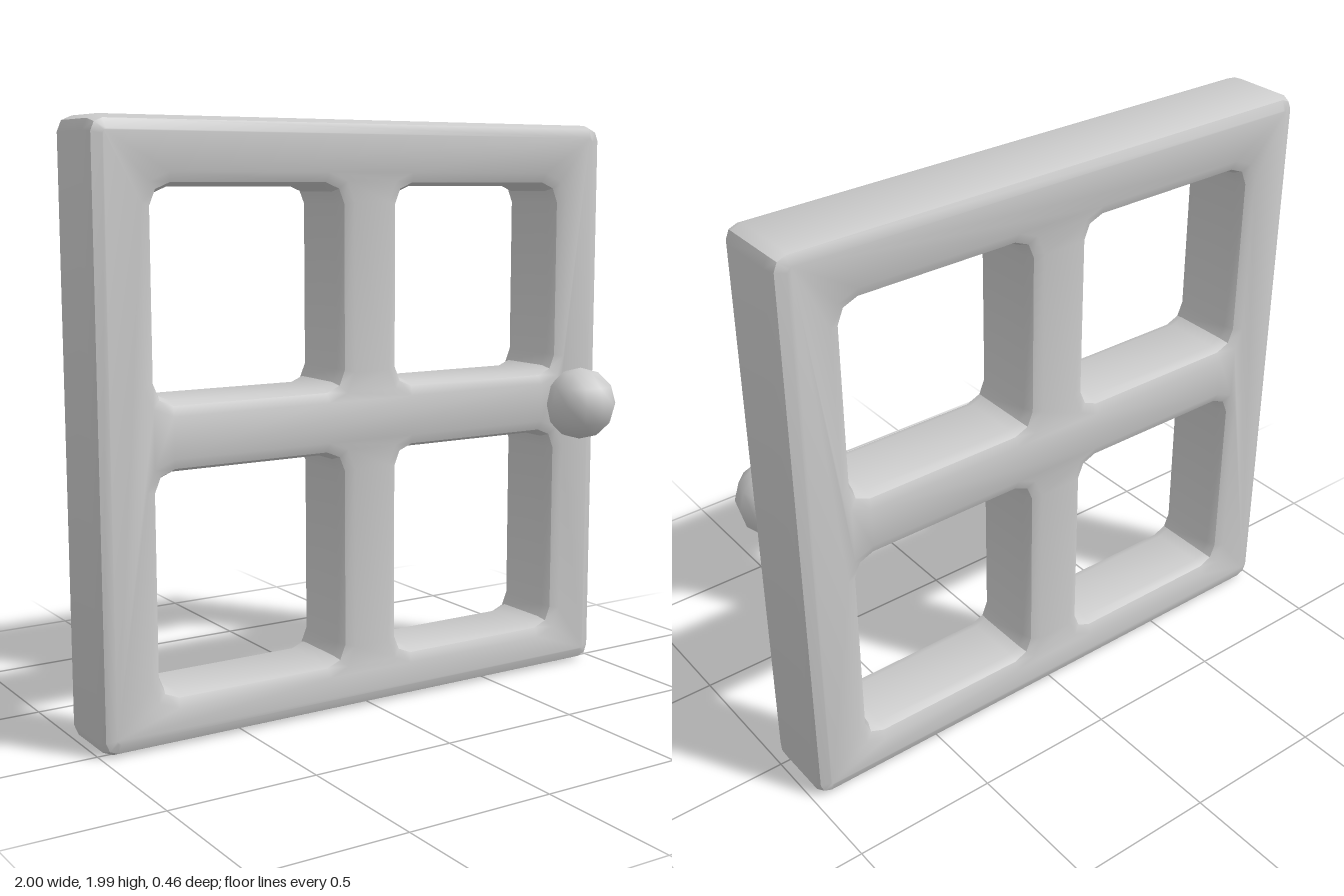
import * as THREE from 'three';
import { toCreasedNormals } from 'three/addons/utils/BufferGeometryUtils.js';

// Rectangle outline whose corners are two-segment arcs
function roundedOutline(x0, x1, y0, y1, r) {
  const corners = [[x1 - r, y1 - r], [x0 + r, y1 - r], [x0 + r, y0 + r], [x1 - r, y0 + r]];
  const points = [];
  corners.forEach(([cx, cy], i) => {
    for (let k = 0; k <= 2; k++) {
      const a = (i + k / 2) * Math.PI / 2;
      points.push(new THREE.Vector2(cx + r * Math.cos(a), cy + r * Math.sin(a)));
    }
  });
  return points;
}

export function createModel() {
  const group = new THREE.Group();
  const material = new THREE.MeshStandardMaterial({ color: 0xcccccc });

  // Window frame with four pane openings
  const shape = new THREE.Shape(roundedOutline(-1, 0.985, 0, 1.985, 0.05));
  for (const [x0, x1] of [[-0.79, -0.12], [0.105, 0.775]]) {
    for (const [y0, y1] of [[0.17, 0.885], [1.11, 1.77]]) {
      shape.holes.push(new THREE.Path(roundedOutline(x0, x1, y0, y1, 0.06)));
    }
  }
  const bevel = 0.045, back = -0.23, front = 0.055;
  const frameGeometry = new THREE.ExtrudeGeometry(shape, {
    depth: front - back - 2 * bevel,
    bevelThickness: bevel,
    bevelSize: bevel,
    bevelOffset: -bevel,
    bevelSegments: 2,
  });
  frameGeometry.translate(0, 0, back + bevel);
  const frame = new THREE.Mesh(toCreasedNormals(frameGeometry, 0.6), material);
  frame.name = 'windowFrame';
  group.add(frame);

  // Round handle knob, partly sunk into the frame
  const knob = new THREE.Mesh(new THREE.SphereGeometry(0.13, 12, 6), material);
  knob.name = 'knob';
  knob.position.set(0.865, 0.99, 0.1);
  group.add(knob);

  return group;
}
